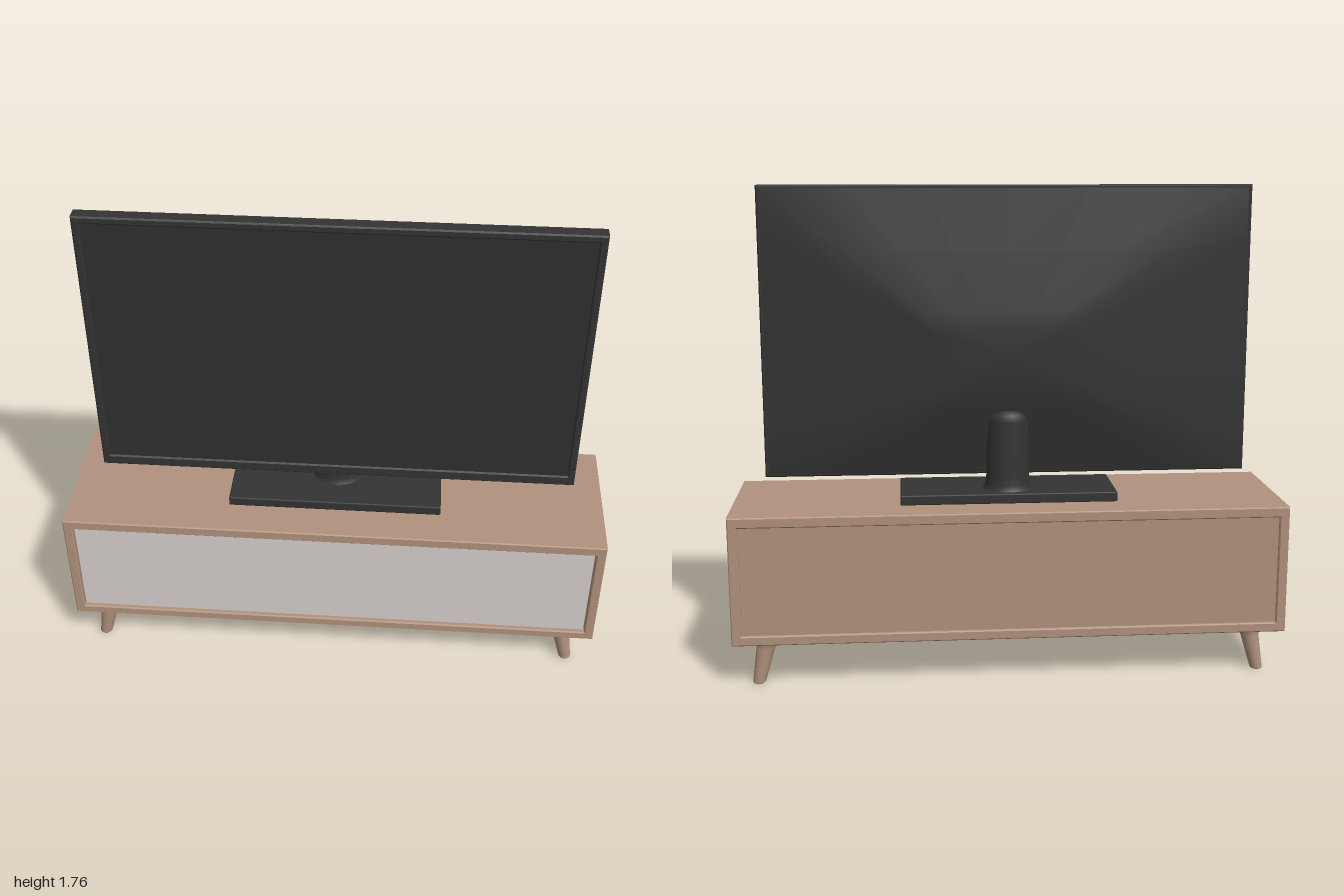
import * as THREE from 'three';
import { RoundedBoxGeometry } from 'three/addons/geometries/RoundedBoxGeometry.js';

const flat = (name, color) => {
  const m = new THREE.MeshStandardMaterial({ color });
  m.name = name;
  return m;
};

// Rectangular frame with an opening, facing +z, between two depths
function frameGeometry(outer, inner, z0, z1, bevel) {
  const trace = (p, [x, y0, y1]) => p.moveTo(-x, y0).lineTo(x, y0).lineTo(x, y1).lineTo(-x, y1).closePath();
  const b = bevel;
  const shape = trace(new THREE.Shape(), [outer[0] - b, outer[1] + b, outer[2] - b]);
  shape.holes.push(trace(new THREE.Path(), [inner[0] + b, inner[1] - b, inner[2] + b]));
  const geo = new THREE.ExtrudeGeometry(shape, {
    depth: z1 - z0 - 2 * b, bevelEnabled: true, bevelSize: b, bevelThickness: b, bevelSegments: 1,
  });
  return geo.translate(0, 0, z0 + b);
}

// Bulging back shell: rectangular rings [halfWidth, bottom, top, z], closed by a centre point
function shellGeometry(rings, centre) {
  const n = 6, per = 4 * n, pos = [], idx = [];
  for (const [x, y0, y1, z, zTop] of rings) {
    const c = [[x, y0], [-x, y0], [-x, y1], [x, y1]];
    for (let s = 0; s < 4; s++) {
      const a = c[s], b = c[(s + 1) % 4];
      for (let i = 0; i < n; i++) {
        const t = i / n;
        const y = a[1] + (b[1] - a[1]) * t;
        pos.push(a[0] + (b[0] - a[0]) * t, y, z + (zTop - z) * (y - y0) / (y1 - y0));
      }
    }
  }
  for (let r = 0; r < rings.length - 1; r++) {
    for (let i = 0; i < per; i++) {
      const j = (i + 1) % per, a = r * per + i, b = r * per + j;
      idx.push(a, b, b + per, a, b + per, a + per);
    }
  }
  const last = (rings.length - 1) * per, mid = pos.length / 3;
  pos.push(...centre);
  for (let i = 0; i < per; i++) idx.push(last + i, last + (i + 1) % per, mid);
  const geo = new THREE.BufferGeometry();
  geo.setAttribute('position', new THREE.Float32BufferAttribute(pos, 3));
  geo.setIndex(idx);
  geo.computeVertexNormals();
  return geo;
}

export function createModel() {
  const model = new THREE.Group();
  model.name = 'televisionOnStand';
  const wood = flat('wood', 0xb0917c);
  const white = flat('whiteFront', 0xd6d0cc);
  const casing = flat('casing', 0x333333);
  const glass = flat('screenGlass', 0x2f2f2f);

  const add = (parent, name, geo, mat, x = 0, y = 0, z = 0) => {
    const mesh = new THREE.Mesh(geo, mat);
    mesh.name = name;
    mesh.position.set(x, y, z);
    parent.add(mesh);
    return mesh;
  };

  // Cabinet: open frame with recessed front and back panels
  const cabinet = new THREE.Group();
  cabinet.name = 'cabinet';
  model.add(cabinet);
  add(cabinet, 'cabinetFrame', frameGeometry([1, 0.16, 0.63], [0.965, 0.195, 0.592], -0.275, 0.275, 0.004), wood);
  add(cabinet, 'frontPanel', new THREE.BoxGeometry(1.922, 0.389, 0.02), white, 0, 0.3935, 0.252);
  add(cabinet, 'frontPanelBacking', new THREE.BoxGeometry(1.94, 0.41, 0.02), wood, 0, 0.3935, 0.235);
  add(cabinet, 'backPanel', new THREE.BoxGeometry(1.94, 0.41, 0.02), wood, 0, 0.3935, -0.252);

  // Splayed tapering legs, flared where they meet the cabinet
  const legProfile = [[0, 0], [0.02, 0], [0.023, 0.004], [0.034, 0.13], [0.038, 0.147], [0.046, 0.162], [0, 0.162]]
    .map(([r, y]) => new THREE.Vector2(r, y));
  for (const sx of [-1, 1]) {
    for (const sz of [-1, 1]) {
      const geo = new THREE.LatheGeometry(legProfile, 20);
      const p = geo.attributes.position;
      for (let i = 0; i < p.count; i++) {
        const k = p.getY(i) / 0.16;
        p.setX(i, p.getX(i) - sx * 0.033 * k);
        p.setZ(i, p.getZ(i) - sz * 0.015 * k);
      }
      geo.computeVertexNormals();
      add(cabinet, (sz > 0 ? 'front' : 'back') + (sx > 0 ? 'Left' : 'Right') + 'Leg', geo, wood, sx * 0.914, 0, sz * 0.212);
    }
  }

  // Television: bezel, recessed screen and bulging back
  const tv = new THREE.Group();
  tv.name = 'television';
  model.add(tv);
  add(tv, 'bezel', frameGeometry([0.885, 0.715, 1.765], [0.857, 0.757, 1.738], -0.026, 0.03, 0.005), casing);
  add(tv, 'screen', new THREE.BoxGeometry(1.73, 1, 0.009), glass, 0, 1.2475, 0.018);
  add(tv, 'backShell', shellGeometry([
    [0.88, 0.72, 1.76, -0.025, -0.025],
    [0.58, 0.855, 1.53, -0.06, -0.062],
    [0.30, 0.985, 1.32, -0.09, -0.096],
    [0.24, 1.03, 1.27, -0.098, -0.101],
    [0.12, 1.1, 1.22, -0.103, -0.104],
  ], [0, 1.16, -0.105]), casing);

  // Foot plate and elliptical neck
  add(tv, 'footPlate', new RoundedBoxGeometry(0.79, 0.037, 0.28, 2, 0.005), casing, 0, 0.6475, -0.005);
  const neckProfile = [[0.1, 0.66], [0.09, 0.668], [0.082, 0.685], [0.079, 0.72], [0.077, 0.92], [0.07, 0.945], [0.05, 0.96], [0, 0.967]]
    .map(([r, y]) => new THREE.Vector2(r, y));
  add(tv, 'neck', new THREE.LatheGeometry(neckProfile, 32), casing, 0, 0, -0.047).scale.z = 0.85;

  return model;
}
